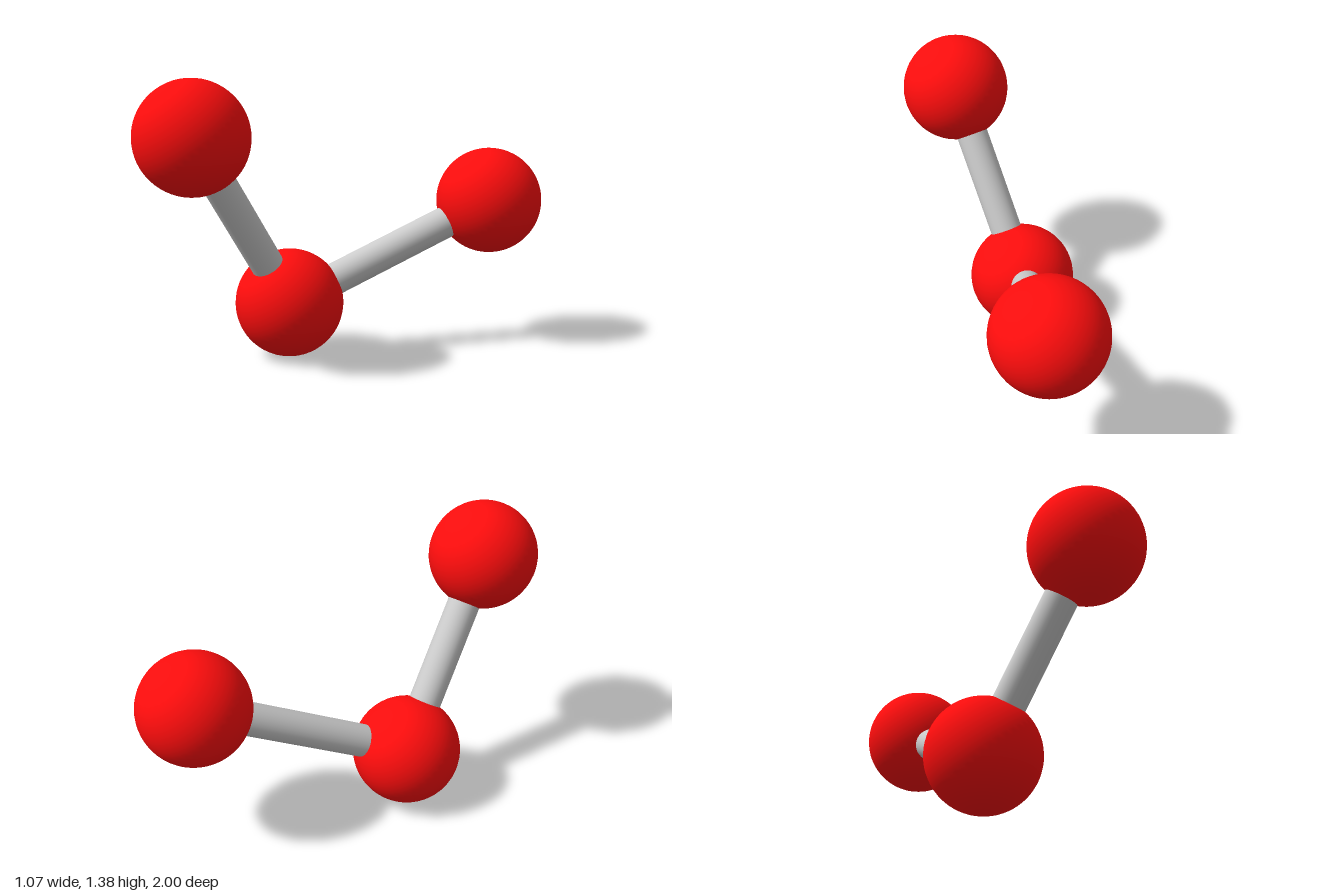
import * as THREE from 'three';

const ATOM_RADIUS = 0.266;
const BOND_RADIUS = 0.08;

export function createModel() {
  const model = new THREE.Group();
  model.name = 'bentMolecule';

  const red = new THREE.MeshStandardMaterial({ color: 0xff0d0d });
  const grey = new THREE.MeshStandardMaterial({ color: 0xcccccc });

  const centre = new THREE.Vector3(-0.27, 0.268, 0.153);
  const upper = new THREE.Vector3(-0.27, 1.12, 0.734);
  const rear = new THREE.Vector3(0.27, 0.74, -0.734);

  // Atoms: smooth spheres
  const ball = new THREE.SphereGeometry(ATOM_RADIUS, 48, 32);
  function addAtom(name, position) {
    const atom = new THREE.Mesh(ball, red);
    atom.name = name;
    atom.position.copy(position);
    model.add(atom);
  }

  // Bonds: rods running from one atom centre to another
  function addBond(name, from, to) {
    const span = to.clone().sub(from);
    const rod = new THREE.CylinderGeometry(BOND_RADIUS, BOND_RADIUS, span.length(), 32);
    const bond = new THREE.Mesh(rod, grey);
    bond.name = name;
    bond.position.copy(from).addScaledVector(span, 0.5);
    bond.quaternion.setFromUnitVectors(new THREE.Vector3(0, 1, 0), span.normalize());
    model.add(bond);
  }

  addAtom('centreAtom', centre);
  addAtom('upperAtom', upper);
  addAtom('rearAtom', rear);
  addBond('upperBond', centre, upper);
  addBond('rearBond', centre, rear);

  return model;
}
